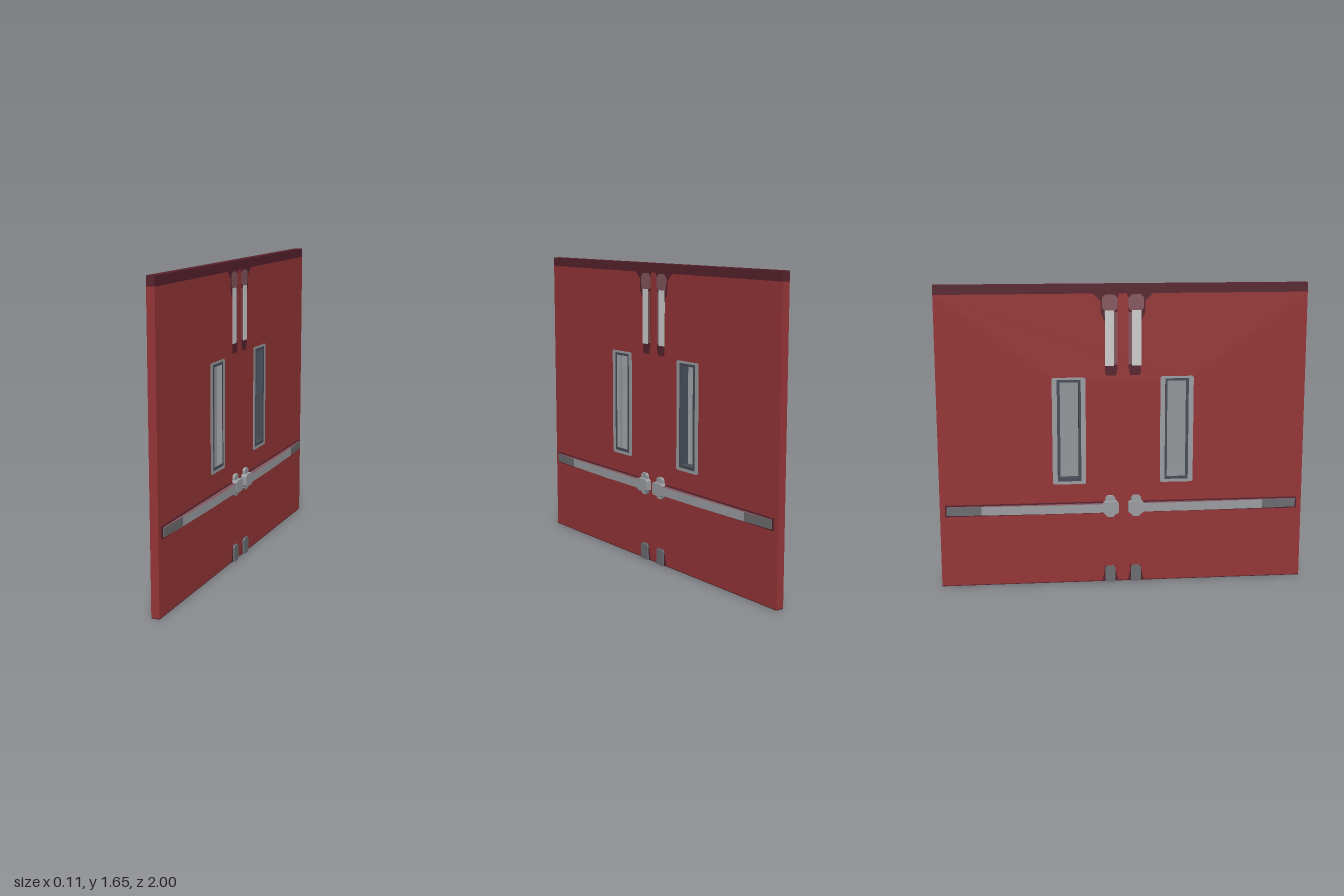
import * as THREE from 'three';

const material = (name, color, extra = {}) => {
  const m = new THREE.MeshStandardMaterial({ color, ...extra });
  m.name = name;
  return m;
};

export function createModel() {
  const red = material('door red', 0x963537);
  const wine = material('dark wine', 0x57222d);
  const mauve = material('mauve', 0x83565d);
  const silver = material('light silver', 0xcdcdcd);
  const grey = material('grey metal', 0x9c9da1);
  const steel = material('mid steel', 0x6b6c70);
  const slate = material('dark slate', 0x474c56);

  const HALF = 0.022; // half thickness of the door
  const door = new THREE.Group();
  door.name = 'doubleDoor';

  const add = (parent, name, geometry, mat) => {
    const mesh = new THREE.Mesh(geometry, mat);
    mesh.name = name;
    parent.add(mesh);
    return mesh;
  };
  const box = (parent, name, mat, size, pos) =>
    add(parent, name, new THREE.BoxGeometry(...size), mat).position.set(...pos);

  // Outline in (z, y), extruded along x from x0 to x1
  const path = (pts, Type = THREE.Shape) =>
    new Type(pts.map(([z, y]) => new THREE.Vector2(-z, y)));
  const rect = (z0, z1, y0, y1) => [[z0, y0], [z1, y0], [z1, y1], [z0, y1]];
  const chamfered = (z0, z1, y0, y1, c) => [
    [z0 + c, y0], [z1 - c, y0], [z1, y0 + c], [z1, y1 - c],
    [z1 - c, y1], [z0 + c, y1], [z0, y1 - c], [z0, y0 + c],
  ];
  const flip = (pts, s) => pts.map(([z, y]) => [z * s, y]);
  const slab = (parent, name, mat, pts, x0, x1, holes = []) => {
    const shape = path(pts);
    shape.holes = holes.map((h) => path(h, THREE.Path));
    const g = new THREE.ExtrudeGeometry(shape, { depth: x1 - x0, bevelEnabled: false });
    g.rotateY(Math.PI / 2).translate(x0, 0, 0);
    return add(parent, name, g, mat);
  };

  // Door leaves with two window openings, dark top rail and sill
  const opening = rect(0.235, 0.35, 0.588, 1.133);
  slab(door, 'doorPanel', red, rect(-1, 1, 0.004, 1.6), -HALF, HALF,
    [opening, flip(opening, -1)]);
  box(door, 'topRail', wine, [HALF * 2, 0.05, 2], [0, 1.625, 0]);
  box(door, 'sill', wine, [HALF * 2, 0.004, 2], [0, 0.002, 0]);

  // Window linings through the door
  for (const s of [1, -1]) {
    slab(door, 'windowLining', slate, flip(rect(0.229, 0.358, 0.58, 1.14), s),
      -HALF - 0.003, HALF + 0.003, [flip(rect(0.241, 0.342, 0.596, 1.127), s)]);
  }

  // Bar piece: outline in (x, z), extruded upward from y0 to y1
  const barPiece = (parent, name, mats, pts, y0, y1) => {
    const shape = new THREE.Shape(pts.map(([x, z]) => new THREE.Vector2(x, -z)));
    const g = new THREE.ExtrudeGeometry(shape, { depth: y1 - y0, bevelEnabled: false });
    g.rotateX(-Math.PI / 2).translate(0, y0, 0);
    add(parent, name, g, mats);
  };

  // Fittings of one face; the second face is the same, turned around
  const buildFace = (name) => {
    const face = new THREE.Group();
    face.name = name;
    for (const s of [1, -1]) {
      const plate = (label, mat, pts, x0, x1, holes = []) =>
        slab(face, label, mat, flip(pts, s), x0, x1, holes.map((h) => flip(h, s)));

      // Window frame
      plate('windowFrame', grey, chamfered(0.203, 0.385, 0.563, 1.152, 0.008), HALF, HALF + 0.002,
        [rect(0.23, 0.357, 0.581, 1.139)]);

      // Upper bolt, painted in layers
      plate('upperBoltShade', wine, [
        [0.04, 1.16], [0.09, 1.16], [0.098, 1.18], [0.098, 1.45], [0.12, 1.5],
        [0.12, 1.56], [0.16, 1.6], [0.02, 1.6], [0.03, 1.57], [0.03, 1.2],
      ], HALF, HALF + 0.001);
      plate('upperBoltEdge', mauve, rect(0.03, 0.048, 1.22, 1.5), HALF, HALF + 0.0015);
      plate('upperBoltHousing', mauve, chamfered(0.029, 0.112, 1.505, 1.595, 0.018),
        HALF, HALF + 0.002);
      plate('upperBoltRod', silver, rect(0.048, 0.098, 1.213, 1.51), HALF, HALF + 0.003);

      // Push bar: backing, tapered grip and steel end
      plate('barBacking', wine, rect(0.09, 0.972, 0.396, 0.46), HALF, HALF + 0.006);
      barPiece(face, 'pushBar', [mauve, grey], [
        [HALF, 0.06 * s], [0.053, 0.06 * s], [0.053, 0.4 * s], [0.044, 0.775 * s], [HALF, 0.775 * s],
      ], 0.405, 0.453);
      barPiece(face, 'pushBarEnd', [mauve, steel], [
        [HALF, 0.775 * s], [0.044, 0.775 * s], [0.035, 0.963 * s], [HALF, 0.963 * s],
      ], 0.405, 0.453);

      // Latch housing in the middle of the door
      plate('latchHousing', grey, chamfered(0.044, 0.098, 0.375, 0.495, 0.012), HALF, 0.037);
      plate('latchCollar', grey, chamfered(0.027, 0.112, 0.395, 0.465, 0.01), HALF, 0.054);

      // Lower bolt with a flared foot
      plate('lowerBoltShade', wine, [
        [0.025, 0], [0.118, 0], [0.1, 0.07], [0.1, 0.09], [0.043, 0.09], [0.043, 0.07],
      ], HALF, HALF + 0.003);
      plate('lowerBolt', steel, [
        [0.043, 0], [0.1, 0], [0.1, 0.08], [0.092, 0.09], [0.051, 0.09], [0.043, 0.08],
      ], HALF, 0.036);
    }
    door.add(face);
    return face;
  };
  buildFace('leftFaceFittings');
  buildFace('rightFaceFittings').rotation.y = Math.PI;

  return door;
}
